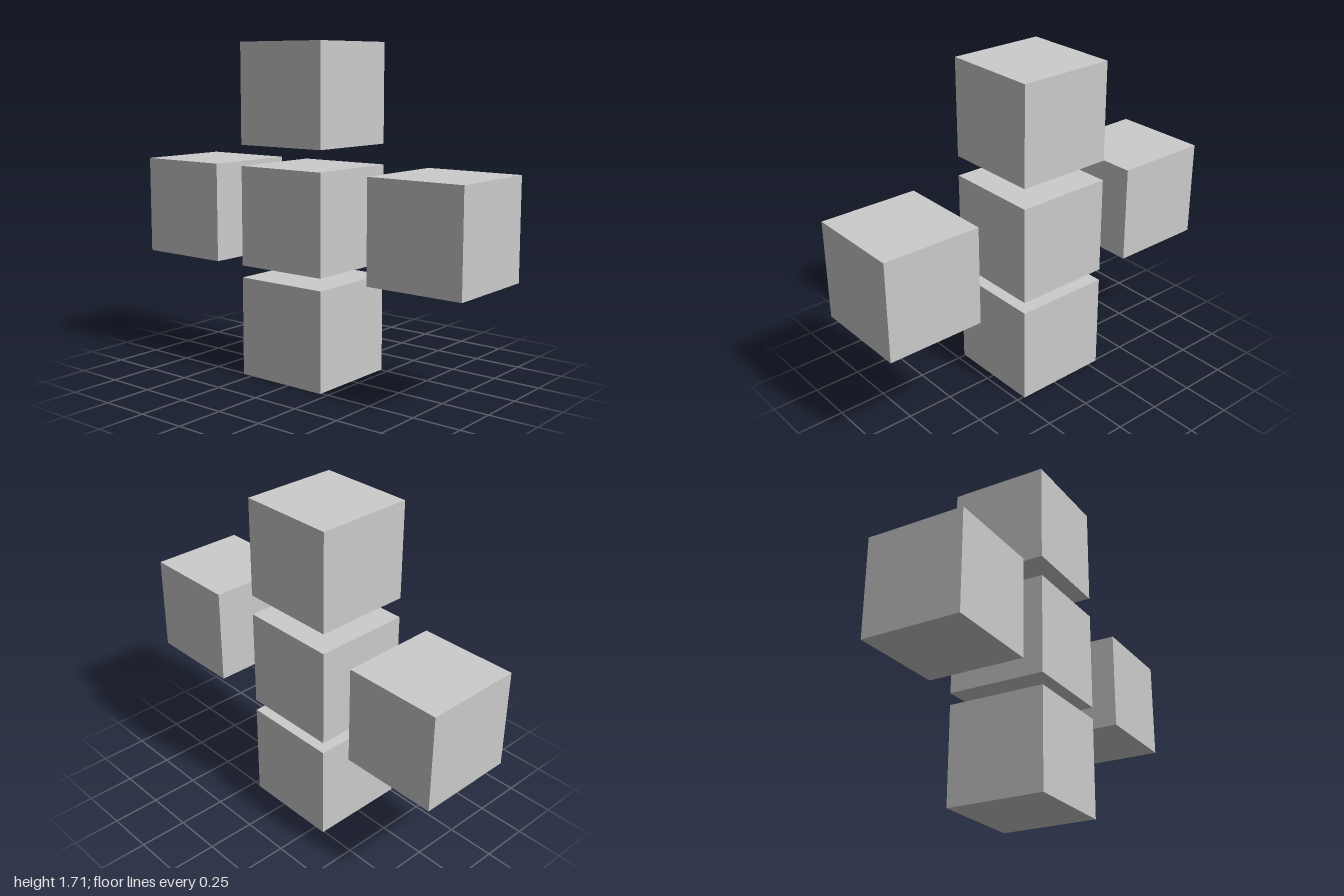
import * as THREE from 'three';

const SIZE = 0.515;

// Five equal, separate cubes in a cross, all centred on z = 0
const CUBES = [
  ['bottomCube', -0.049, SIZE / 2],
  ['centreCube', -0.049, 0.835],
  ['topCube', -0.049, 1.457],
  ['rightCube', -1 + SIZE / 2, 0.835],
  ['leftCube', 1 - SIZE / 2, 0.835],
];

export function createModel() {
  const model = new THREE.Group();
  model.name = 'cubeCross';
  const geometry = new THREE.BoxGeometry(SIZE, SIZE, SIZE);
  const material = new THREE.MeshStandardMaterial({ color: 0xcccccc });

  for (const [name, x, y] of CUBES) {
    const cube = new THREE.Mesh(geometry, material);
    cube.name = name;
    cube.position.set(x, y, 0);
    model.add(cube);
  }
  return model;
}
